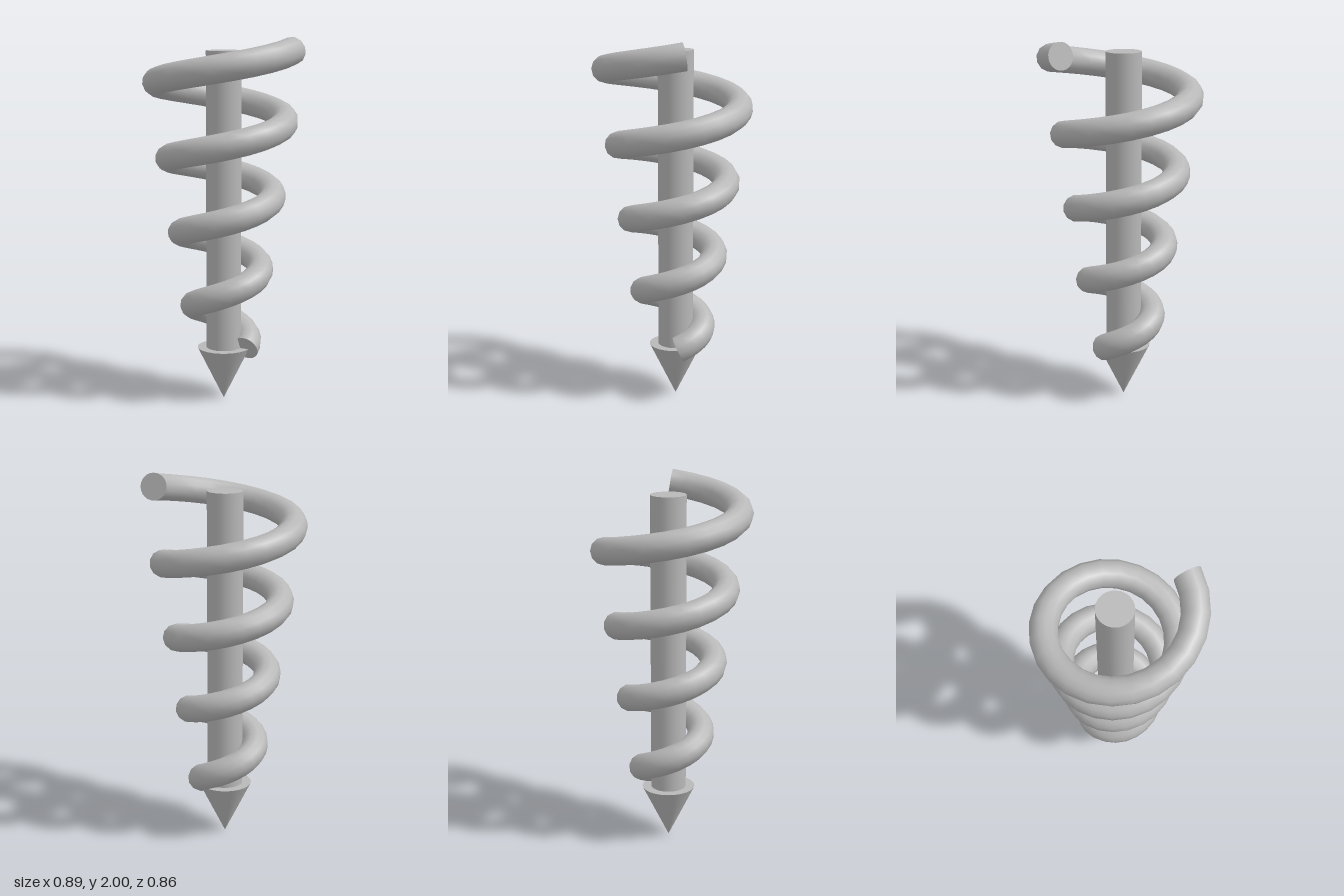
import * as THREE from 'three';

const AXIS = -0.016;        // x and z of the screw's axis
const TURNS = 4;
const TUBE_RADIUS = 0.073;

// Conical helix, widening and rising evenly with the angle
class ConicalHelix extends THREE.Curve {
  getPoint(t, target = new THREE.Vector3()) {
    const a = t * TURNS * Math.PI * 2;
    const r = 0.13 + 0.26 * t;
    return target.set(AXIS + r * Math.cos(a), 0.3 + 1.63 * t, AXIS - r * Math.sin(a));
  }
  // Equal angular steps instead of equal lengths
  getPointAt(t, target) { return this.getPoint(t, target); }
  getTangentAt(t, target) { return this.getTangent(t, target); }
}

export function createModel() {
  const model = new THREE.Group();
  const metal = new THREE.MeshStandardMaterial({ color: 0xb8b8b8 });
  metal.name = 'grey metal';

  const add = (name, geometry, x, y, z) => {
    const mesh = new THREE.Mesh(geometry, metal);
    mesh.name = name;
    mesh.position.set(x, y, z);
    model.add(mesh);
    return mesh;
  };

  // Straight shaft and pointed tip
  add('shaft', new THREE.CylinderGeometry(0.096, 0.096, 1.635, 24), AXIS, 1.1075, AXIS);
  const tip = add('tip', new THREE.ConeGeometry(0.145, 0.295, 24), AXIS, 0.1475, AXIS);
  tip.rotation.x = Math.PI;

  // Spiral thread around the shaft
  const helix = new ConicalHelix();
  add('spiral', new THREE.TubeGeometry(helix, 24 * TURNS, TUBE_RADIUS, 12), 0, 0, 0);

  // Flat discs closing both ends of the spiral
  for (const [name, t, sign] of [['lowerEnd', 0, -1], ['upperEnd', 1, 1]]) {
    const p = helix.getPoint(t);
    const cap = add(name, new THREE.CircleGeometry(TUBE_RADIUS, 24), p.x, p.y, p.z);
    const outward = helix.getTangent(t).multiplyScalar(sign);
    cap.quaternion.setFromUnitVectors(new THREE.Vector3(0, 0, 1), outward);
  }

  return model;
}
